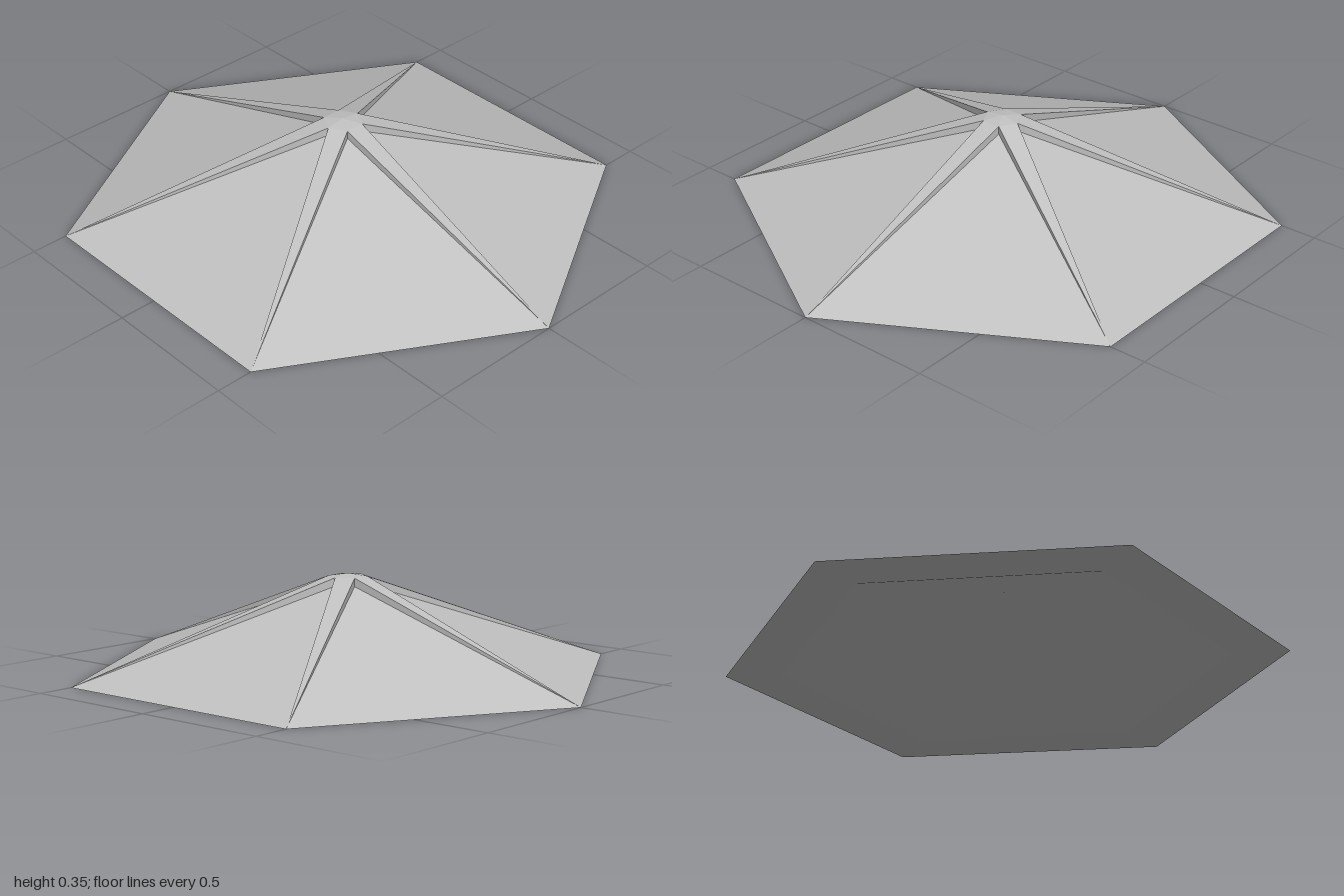
import * as THREE from 'three';

const SIDES = 6, STEP = Math.PI * 2 / SIDES;
const CAP_R = 0.07, CAP_Y = 0.34, PANEL_Y = 0.31;

// point at an angle measured from +z towards +x
const polar = (r, a, y) => [r * Math.sin(a), y, r * Math.cos(a)];

function triangles(...tris) {
  const g = new THREE.BufferGeometry();
  g.setAttribute('position', new THREE.Float32BufferAttribute(tris.flat(2), 3));
  g.computeVertexNormals();
  return g;
}

export function createModel() {
  const group = new THREE.Group();
  const grey = new THREE.MeshStandardMaterial({ color: 0xc0c0c0, flatShading: true, side: THREE.DoubleSide });
  grey.name = 'light grey';

  const add = (name, geometry, y = 0) => {
    const mesh = new THREE.Mesh(geometry, grey);
    mesh.name = name;
    mesh.position.y = y;
    group.add(mesh);
  };

  for (let i = 0; i < SIDES; i++) {
    const a = i * STEP, h = STEP / 2;
    const corner = polar(1, a, 0), next = polar(1, a + STEP, 0);
    const right = polar(CAP_R, a + h, CAP_Y), left = polar(CAP_R, a - h, CAP_Y);
    const rightLow = polar(CAP_R, a + h, PANEL_Y), leftLow = polar(CAP_R, a - h, PANEL_Y);

    // sloping roof panel between two corners
    add('roofPanel', triangles([corner, next, rightLow]));

    // raised hip rib tapering to the corner: top and two side walls
    add('hipRib', triangles(
      [corner, right, left],
      [corner, rightLow, right],
      [corner, left, leftLow]
    ));
  }

  // shallow cap over the meeting ribs
  add('cap', new THREE.ConeGeometry(CAP_R, 0.01, SIDES, 1, true, STEP / 2), CAP_Y + 0.005);

  // flat rim under the eaves, facing down
  const rim = new THREE.RingGeometry(0.8, 1, SIDES, 1, Math.PI / 2);
  rim.rotateX(Math.PI / 2);
  add('eavesRim', rim);

  // hollow underside
  add('innerCeiling', new THREE.ConeGeometry(0.8, 0.28, SIDES, 1, true), 0.14);

  return group;
}
